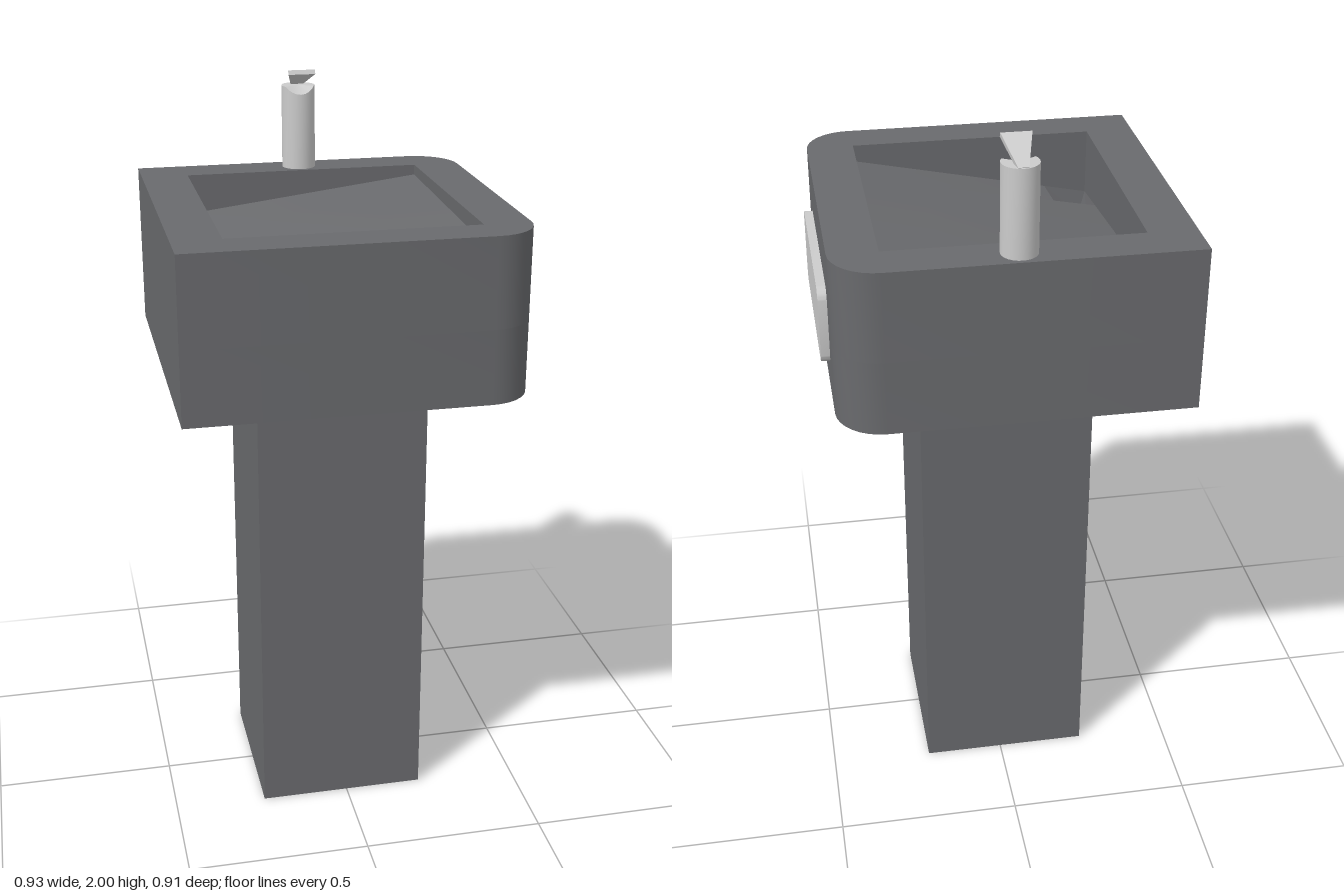
import * as THREE from 'three';
import { toCreasedNormals } from 'three/addons/utils/BufferGeometryUtils.js';

const dark = new THREE.MeshStandardMaterial({ color: 0x696a6d });
const darkThin = new THREE.MeshStandardMaterial({ color: 0x696a6d, side: THREE.DoubleSide });
const grey = new THREE.MeshStandardMaterial({ color: 0xcccccc });

const RIM = 1.72, DRAIN = 1.48, BOTTOM = 1.28;
const IN = { x0: -0.34, x1: 0.317, z0: -0.342, z1: 0.342 }; // basin opening

function add(group, name, geometry, material) {
  const mesh = new THREE.Mesh(geometry, material);
  mesh.name = name;
  group.add(mesh);
  return mesh;
}

// Plan outline, square at the -x side and rounded at the +x side
function outline() {
  const x0 = -0.468, x1 = 0.443, z0 = -0.458, z1 = 0.455, r = 0.12;
  const s = new THREE.Shape();
  s.moveTo(x0, -z1);
  s.lineTo(x1 - r, -z1);
  s.absarc(x1 - r, -z1 + r, r, -Math.PI / 2, 0, false);
  s.lineTo(x1, -z0 - r);
  s.absarc(x1 - r, -z0 - r, r, 0, Math.PI / 2, false);
  s.lineTo(x0, -z0);
  s.closePath();
  return s;
}

function slab(shape, y0, y1) {
  const g = new THREE.ExtrudeGeometry(shape, { depth: y1 - y0, bevelEnabled: false, curveSegments: 4 });
  g.rotateX(-Math.PI / 2).translate(0, y0, 0);
  return toCreasedNormals(g, 0.6);
}

function rectPath(x0, x1, z0, z1) {
  return new THREE.Path([[x0, -z0], [x1, -z0], [x1, -z1], [x0, -z1]].map(p => new THREE.Vector2(...p)));
}

// Height of the basin floor, falling to the drain corner
function floorY(x, z) {
  const u = (x - IN.x0) / (IN.x1 - IN.x0), v = (z - IN.z0) / (IN.z1 - IN.z0);
  const back = THREE.MathUtils.lerp(0.11, 0.028, u);
  const front = THREE.MathUtils.lerp(0.18, 0.045, u);
  return RIM - THREE.MathUtils.lerp(back, front, v);
}

function floorPatch(x0, x1, z0, z1) {
  const g = new THREE.PlaneGeometry(x1 - x0, z1 - z0, 4, 4);
  g.rotateX(-Math.PI / 2).translate((x0 + x1) / 2, 0, (z0 + z1) / 2);
  const p = g.attributes.position;
  for (let i = 0; i < p.count; i++) p.setY(i, floorY(p.getX(i), p.getZ(i)));
  g.computeVertexNormals();
  return g;
}

function quad(a, b, c, d) {
  const g = new THREE.BufferGeometry();
  g.setAttribute('position', new THREE.Float32BufferAttribute([a, b, c, a, c, d].flat(), 3));
  g.computeVertexNormals();
  return g;
}

export function createModel() {
  const model = new THREE.Group();
  model.name = 'drinkingFountain';

  // Pedestal
  const H = BOTTOM;
  add(model, 'pedestal', new THREE.BoxGeometry(0.463, H, 0.467), dark).position.set(-0.0135, H / 2, -0.0115);

  // Basin block: solid base below a rim with an opening
  add(model, 'basinBase', slab(outline(), BOTTOM, DRAIN), dark);
  const rim = outline();
  rim.holes.push(rectPath(IN.x0, IN.x1, IN.z0, IN.z1));
  add(model, 'basinRim', slab(rim, DRAIN, RIM), dark);

  // Sloping floor around the square drain
  const dx = -0.222, dz = 0.21;
  add(model, 'basinFloorBack', floorPatch(IN.x0, IN.x1, IN.z0, dz), dark);
  add(model, 'basinFloorFront', floorPatch(dx, IN.x1, dz, IN.z1), dark);

  // Drain walls: two upright, two leaning inwards
  const top = (x, z) => [x, floorY(x, z), z], low = (x, z) => [x, DRAIN, z];
  const { x0, z1 } = IN, xi = x0 + 0.018, zi = z1 - 0.01;
  add(model, 'drainWallBack', quad(top(x0, dz), low(x0, dz), low(dx, dz), top(dx, dz)), darkThin);
  add(model, 'drainWallRight', quad(top(dx, dz), low(dx, dz), low(dx, z1), top(dx, z1)), darkThin);
  add(model, 'drainWallLeft', quad(top(x0, z1), low(xi, zi), low(xi, dz), top(x0, dz)), darkThin);
  add(model, 'drainWallFront', quad(top(dx, z1), low(dx, zi), low(xi, zi), top(x0, z1)), darkThin);

  // Push panel on the rounded side
  const w = 0.2575, h = 0.104, r = 0.032;
  const p = new THREE.Shape();
  p.absarc(w - r, h - r, r, 0, Math.PI / 2, false);
  p.absarc(-w + r, h - r, r, Math.PI / 2, Math.PI, false);
  p.absarc(-w + r, -h + r, r, Math.PI, Math.PI * 1.5, false);
  p.absarc(w - r, -h + r, r, Math.PI * 1.5, Math.PI * 2, false);
  const panel = new THREE.ExtrudeGeometry(p, { depth: 0.028, bevelEnabled: false, curveSegments: 5 });
  panel.rotateY(Math.PI / 2);
  add(model, 'pushPanel', toCreasedNormals(panel, 0.6), grey).position.set(0.438, 1.483, -0.0075);

  // Spout post, its top eased down at the front
  const post = new THREE.CylinderGeometry(0.047, 0.047, 0.23, 24);
  const q = post.attributes.position;
  for (let i = 0; i < q.count; i++) {
    if (q.getY(i) > 0) q.setY(i, q.getY(i) - Math.max(0, q.getZ(i) - 0.025) * 0.9);
  }
  add(model, 'spoutPost', toCreasedNormals(post, 0.5), grey).position.set(-0.012, RIM + 0.115, -0.4);

  // Spout lip: thin plate flaring and rising to the front
  const lip = new THREE.BoxGeometry(1, 0.013, 0.11);
  const l = lip.attributes.position;
  for (let i = 0; i < l.count; i++) l.setX(i, l.getX(i) * (l.getZ(i) > 0 ? 0.076 : 0.026));
  lip.rotateX(-0.46);
  lip.computeVertexNormals();
  add(model, 'spoutLip', lip, grey).position.set(-0.012, 1.97, -0.391);

  return model;
}
